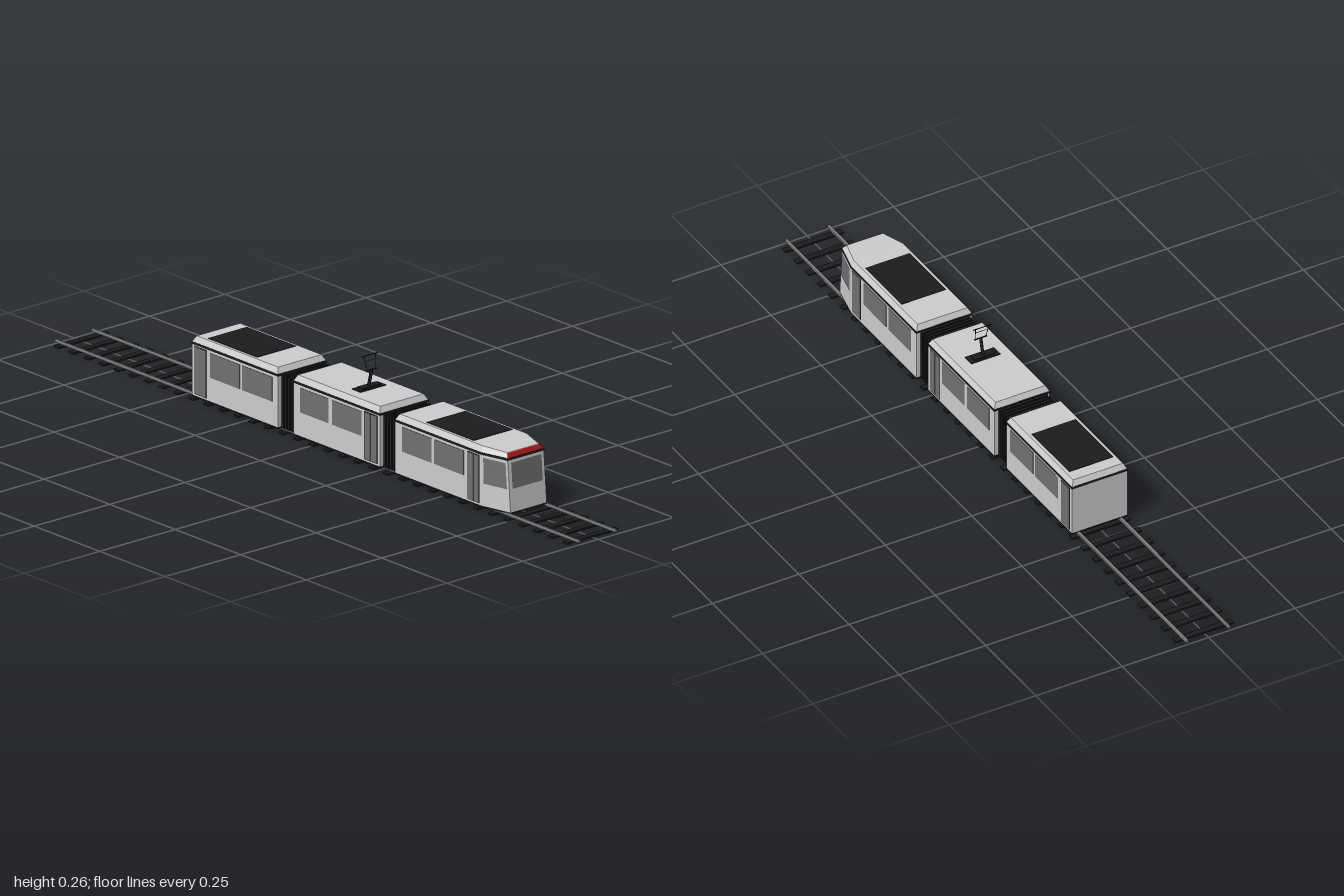
import * as THREE from 'three';

export function createModel() {
  const tram = new THREE.Group();
  tram.name = 'tramOnTrack';

  const material = (name, color, side = THREE.FrontSide) => {
    const m = new THREE.MeshStandardMaterial({ color, side });
    m.name = name;
    return m;
  };
  const paint = material('bodyGrey', 0xcccccc);
  const glass = material('windowGrey', 0x707070, THREE.DoubleSide);
  const black = material('black', 0x1c1c1c);
  const red = material('signRed', 0xb01010, THREE.DoubleSide);
  const steel = material('railSteel', 0x949494);

  const add = (name, geometry, mat, parent = tram) => {
    const mesh = new THREE.Mesh(geometry, mat);
    mesh.name = name;
    parent.add(mesh);
    return mesh;
  };
  // Box given by its minimum and maximum corners
  const box = (name, x0, x1, y0, y1, z0, z1, mat, parent) => {
    const mesh = add(name, new THREE.BoxGeometry(x1 - x0, y1 - y0, z1 - z0), mat, parent);
    mesh.position.set((x0 + x1) / 2, (y0 + y1) / 2, (z0 + z1) / 2);
    return mesh;
  };
  // Flat-sided geometry from a list of four-cornered faces
  const faces = (quads) => {
    const pos = [];
    for (const [a, b, c, d] of quads) pos.push(...a, ...b, ...c, ...a, ...c, ...d);
    const g = new THREE.BufferGeometry();
    g.setAttribute('position', new THREE.Float32BufferAttribute(pos, 3));
    g.computeVertexNormals();
    return g;
  };
  // Solid between two mirrored outlines, each given as half a ring of [x, y, z]
  const loft = (low, high) => {
    const ring = (half) => [...half, ...half.map(([x, y, z]) => [x, y, -z]).reverse()];
    const a = ring(low), b = ring(high), n = a.length, quads = [];
    for (let i = 0; i < n; i++) {
      const j = (i + 1) % n;
      quads.push([a[i], a[j], b[j], b[i]]);
    }
    for (let i = 0; i < n / 2 - 1; i++) {
      const k = [i, i + 1, n - 2 - i, n - 1 - i];
      quads.push(k.map((v) => b[v]), k.reverse().map((v) => a[v]));
    }
    return faces(quads);
  };

  const W = 0.08, NOSE_W = 0.06, SHOULDER = 0.645;
  const noseX = (y) => 0.735 - 0.08 * (y - 0.014);

  // Half outline of a carriage at a height, grown or shrunk by e
  const outline = (x0, x1, y, e, nose, noseY = y) => nose
    ? [[x0 - e, y, W + e], [SHOULDER, y, W + e], [noseX(y) + e, noseY, NOSE_W + e]]
    : [[x0 - e, y, W + e], [x1 + e, y, W + e]];

  const carriages = [
    { name: 'rearCar', x: [-0.457, -0.13], windows: [[-0.388, -0.275], [-0.265, -0.15]], door: [-0.447, -0.403] },
    { name: 'middleCar', x: [-0.07, 0.26], windows: [[-0.045, 0.064], [0.078, 0.19]], door: [0.2, 0.25] },
    { name: 'frontCar', x: [0.318, 0.735], windows: [[0.345, 0.457], [0.468, 0.58]], door: [0.595, 0.64], nose: true },
  ];
  for (const { name, x: [x0, x1], windows, door, nose } of carriages) {
    const car = new THREE.Group();
    car.name = name;
    tram.add(car);
    const layer = (part, y0, e0, y1, e1, mat, noseTop) => add(part,
      loft(outline(x0, x1, y0, e0, nose), outline(x0, x1, y1, e1, nose, noseTop)), mat, car);
    layer('floor', 0.01, 0, 0.014, 0, black);
    layer('walls', 0.014, 0, 0.149, 0, paint);
    layer('roofTrim', 0.149, 0.001, 0.155, 0.001, black);
    layer('roof', 0.155, 0, 0.17, -0.008, paint, 0.166);

    // Side windows and two-leaf doors, the same on both sides
    for (const s of [1, -1]) {
      const plate = (part, a, b, y0, y1, depth, mat) => {
        const z = [s * (W - 0.001), s * (W + depth)].sort((p, q) => p - q);
        box(part, a, b, y0, y1, z[0], z[1], mat, car);
      };
      for (const [a, b] of windows) plate('sideWindow', a, b, 0.077, 0.142, 0.001, glass);
      const [a, b] = door, mid = (a + b) / 2;
      plate('doorFrame', a, b, 0.018, 0.146, 0.0005, black);
      plate('doorLeaf', a + 0.002, mid - 0.0007, 0.02, 0.144, 0.0015, glass);
      plate('doorLeaf', mid + 0.0007, b - 0.002, 0.02, 0.144, 0.0015, glass);
    }
  }

  // Cab glass: windscreen and slanting corner windows
  const cab = tram.getObjectByName('frontCar');
  const Y0 = 0.074, Y1 = 0.142, gap = 0.0015;
  add('windscreen', faces([[
    [noseX(Y0) + gap, Y0, 0.05], [noseX(Y0) + gap, Y0, -0.05],
    [noseX(Y1) + gap, Y1, -0.05], [noseX(Y1) + gap, Y1, 0.05],
  ]]), glass, cab);
  for (const s of [1, -1]) {
    const corner = (t, y) => [
      THREE.MathUtils.lerp(SHOULDER, noseX(y), t) + 0.0005, y,
      s * (THREE.MathUtils.lerp(W, NOSE_W, t) + gap)];
    const q = [corner(0.1, Y0), corner(0.93, Y0), corner(0.93, Y1), corner(0.1, Y1)];
    add('cornerWindow', faces([s > 0 ? q : q.reverse()]), glass, cab);
  }

  // Red destination panel on the front of the roof
  const signLow = noseX(0.155) + 0.001, signHigh = noseX(0.17) - 0.007;
  add('destinationPanel', faces([[
    [signLow, 0.1555, NOSE_W], [signLow, 0.1555, -NOSE_W],
    [signHigh + 0.001, 0.1655, -0.053], [signHigh + 0.001, 0.1655, 0.053],
  ]]), red, cab);

  // Dark roof panels
  box('roofPanel', -0.414, -0.227, 0.169, 0.1715, -0.064, 0.064, black);
  box('roofPanel', 0.42, 0.6, 0.169, 0.1715, -0.064, 0.064, black);

  // Ribbed bellows between the carriages
  for (const [a, b] of [[-0.13, -0.07], [0.26, 0.318]]) {
    box('bellowsCore', a, b, 0.012, 0.149, -0.066, 0.066, black);
    const step = (b - a) / 5;
    for (let i = 0; i < 5; i++) {
      const c = a + step * (i + 0.5);
      box('bellowsRib', c - step * 0.3, c + step * 0.3, 0.011, 0.152, -0.07, 0.07, black);
    }
  }

  // Current collector on the middle carriage
  const collector = new THREE.Group();
  collector.name = 'currentCollector';
  tram.add(collector);
  const rod = (name, from, to, r) => {
    const a = new THREE.Vector3(...from), b = new THREE.Vector3(...to);
    const mesh = add(name, new THREE.CylinderGeometry(r, r, a.distanceTo(b), 6), black, collector);
    mesh.position.copy(a).add(b).multiplyScalar(0.5);
    mesh.quaternion.setFromUnitVectors(new THREE.Vector3(0, 1, 0), b.sub(a).normalize());
  };
  box('collectorBase', 0.11, 0.142, 0.169, 0.1725, -0.042, 0.042, black, collector);
  box('collectorFoot', 0.115, 0.137, 0.172, 0.176, -0.03, 0.03, black, collector);
  rod('lowerArm', [0.125, 0.174, 0], [0.136, 0.22, 0], 0.0045);
  rod('elbowBar', [0.136, 0.22, -0.018], [0.136, 0.22, 0.018], 0.002);
  for (const s of [1, -1]) rod('upperArm', [0.136, 0.22, s * 0.014], [0.128, 0.257, s * 0.02], 0.001);
  rod('braceBar', [0.131, 0.244, -0.018], [0.131, 0.244, 0.018], 0.0007);
  rod('contactBar', [0.128, 0.257, -0.027], [0.128, 0.257, 0.027], 0.0013);

  // Track
  const track = new THREE.Group();
  track.name = 'track';
  tram.add(track);
  for (let i = 0; i < 35; i++) {
    const x = -1 + (i + 0.5) * (2 / 35);
    box('sleeper', x - 0.009, x + 0.009, 0, 0.005, -0.084, 0.084, black, track);
  }
  for (const z of [-0.061, 0.061]) {
    box('railFoot', -1, 1, 0.005, 0.0065, z - 0.004, z + 0.004, steel, track);
    box('railHead', -1, 1, 0.0065, 0.012, z - 0.0025, z + 0.0025, steel, track);
  }
  return tram;
}
